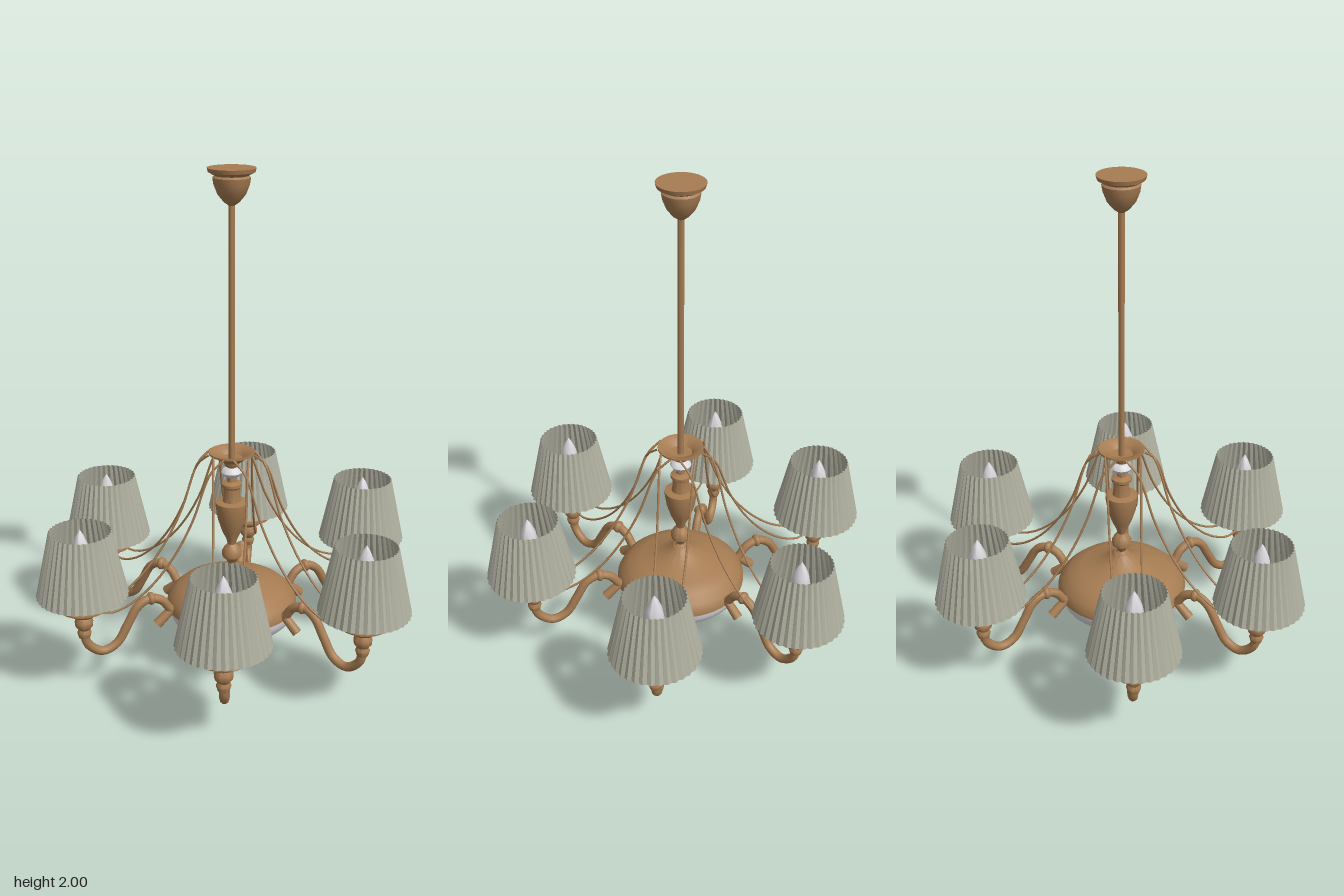
import * as THREE from 'three';
import { toCreasedNormals } from 'three/addons/utils/BufferGeometryUtils.js';

const brass = new THREE.MeshStandardMaterial({ name: 'brass', color: 0xa67c52 });
const glass = new THREE.MeshStandardMaterial({ name: 'white glass', color: 0xd8d8dc });
const fabric = new THREE.MeshStandardMaterial({ name: 'shade fabric', color: 0xb0b0a0, side: THREE.DoubleSide });

function mesh(name, geometry, material) {
  const m = new THREE.Mesh(geometry, material);
  m.name = name;
  return m;
}

// Turned part from [radius, height] pairs, bottom to top
function turned(name, profile, material, sides = 32) {
  const pts = profile.map(([r, y]) => new THREE.Vector2(r, y));
  return mesh(name, toCreasedNormals(new THREE.LatheGeometry(pts, sides), 0.7), material);
}

// Bent tube through points
function bent(name, points, radius, steps, sides) {
  const curve = new THREE.CatmullRomCurve3(points.map((p) => new THREE.Vector3(...p)));
  return mesh(name, new THREE.TubeGeometry(curve, steps, radius, sides), brass);
}

// Open cone with sharp pleats all round
function pleatedShade() {
  const geo = new THREE.CylinderGeometry(0.116, 0.174, 0.265, 72, 1, true);
  const p = geo.attributes.position;
  for (let i = 0; i < p.count; i++) {
    const out = (i % 73) % 2 ? 0.004 : -0.002;
    const r = Math.hypot(p.getX(i), p.getZ(i));
    const k = (r + out) / r;
    p.setXYZ(i, p.getX(i) * k, p.getY(i), p.getZ(i) * k);
  }
  const flat = geo.toNonIndexed();
  flat.computeVertexNormals();
  const shade = mesh('lampShade', flat, fabric);
  shade.position.y = 0.5475;
  return shade;
}

// One arm, built along +x
function createArm() {
  const arm = new THREE.Group();
  arm.name = 'arm';
  const R = 0.62;

  // S-shaped tube with a turned knot near the body
  arm.add(bent('armTube', [
    [0.62, 0.27, 0], [0.61, 0.2, 0], [0.55, 0.153, 0], [0.49, 0.175, 0], [0.445, 0.245, 0],
    [0.4, 0.318, 0], [0.35, 0.342, 0], [0.3, 0.325, 0], [0.265, 0.28, 0], [0.24, 0.265, 0],
  ], 0.018, 40, 10));
  const knot = mesh('armKnot', new THREE.SphereGeometry(0.026, 14, 10), brass);
  knot.scale.x = 0.7;
  knot.position.set(0.345, 0.342, 0);
  arm.add(knot);

  // Short stub that points out and down under the joint
  const stub = mesh('armStub', new THREE.CylinderGeometry(0.017, 0.02, 0.09, 12), brass);
  stub.position.set(0.288, 0.252, 0);
  stub.rotation.z = 0.85;
  arm.add(stub);

  // Cup, drip dish and candle sleeve
  const lamp = new THREE.Group();
  lamp.name = 'lamp';
  lamp.position.x = R;
  lamp.add(turned('cupAndDish', [
    [0, 0.225], [0.022, 0.23], [0.028, 0.25], [0.022, 0.265], [0.034, 0.28], [0.036, 0.3],
    [0.024, 0.32], [0.05, 0.33], [0.06, 0.345], [0.095, 0.36], [0.095, 0.366], [0.028, 0.352],
  ], brass, 24));
  lamp.add(turned('candleSleeve', [[0.028, 0.35], [0.028, 0.52], [0, 0.52]], brass, 16));
  lamp.add(turned('bulb', [
    [0.02, 0.52], [0.034, 0.55], [0.038, 0.58], [0.03, 0.625], [0.014, 0.665], [0, 0.688],
  ], glass, 10));
  lamp.add(pleatedShade());
  arm.add(lamp);

  // Pair of hanging wires from the crown to the dish
  for (const s of [-1, 1]) {
    arm.add(bent('swagWire', [
      [0.06, 0.908, 0.068 * s], [0.115, 0.86, 0.066 * s], [0.19, 0.67, 0.062 * s],
      [0.27, 0.53, 0.059 * s], [0.36, 0.425, 0.055 * s], [0.45, 0.36, 0.05 * s],
      [0.52, 0.338, 0.045 * s], [0.575, 0.352, 0.038 * s],
    ], 0.0045, 28, 6));
  }
  return arm;
}

export function createModel() {
  const model = new THREE.Group();
  model.name = 'chandelier';
  const body = new THREE.Group();
  body.name = 'body';
  body.position.z = -0.012;
  model.add(body);

  // Ceiling cup and long rod
  body.add(turned('ceilingCanopy', [
    [0.012, 1.865], [0.03, 1.878], [0.052, 1.905], [0.066, 1.94], [0.07, 1.965],
    [0.062, 1.972], [0.086, 1.985], [0.09, 2], [0, 2],
  ], brass));
  body.add(turned('rod', [[0.012, 0.85], [0.012, 1.87]], brass, 16));

  // Crown that carries the wires, hollow on top
  body.add(turned('crown', [
    [0.014, 0.845], [0.028, 0.855], [0.032, 0.87], [0.05, 0.88], [0.06, 0.895],
    [0.09, 0.905], [0.09, 0.912], [0.06, 0.904], [0.045, 0.885], [0, 0.88],
  ], brass));
  body.add(turned('glassBead', [
    [0.015, 0.805], [0.034, 0.815], [0.042, 0.828], [0.034, 0.842], [0.015, 0.85],
  ], glass, 24));

  // Turned column and upper dome
  body.add(turned('column', [
    [0.03, 0.42], [0.016, 0.435], [0.022, 0.45], [0.038, 0.465], [0.04, 0.485], [0.03, 0.505],
    [0.017, 0.52], [0.022, 0.54], [0.04, 0.58], [0.056, 0.63], [0.064, 0.68], [0.064, 0.7],
    [0.036, 0.705], [0.032, 0.73], [0.032, 0.76], [0.04, 0.768], [0.04, 0.78], [0.018, 0.788],
    [0.016, 0.81],
  ], brass));
  body.add(turned('upperDome', [
    [0.25, 0.25], [0.262, 0.258], [0.262, 0.275], [0.248, 0.305], [0.215, 0.335], [0.165, 0.357],
    [0.11, 0.37], [0.075, 0.39], [0.04, 0.412], [0.03, 0.425], [0, 0.428],
  ], brass, 48));

  // Glass bowl and finial below
  body.add(turned('glassBowl', [
    [0, 0.118], [0.08, 0.124], [0.15, 0.143], [0.205, 0.172], [0.24, 0.205], [0.254, 0.235],
    [0.256, 0.258],
  ], glass, 48));
  body.add(turned('finial', [
    [0, 0], [0.016, 0.006], [0.022, 0.02], [0.032, 0.03], [0.032, 0.046], [0.02, 0.06],
    [0.013, 0.068], [0.016, 0.08], [0.026, 0.092], [0.024, 0.106], [0.04, 0.114], [0.04, 0.124],
  ], brass, 20));

  // Six arms, slightly uneven around the body
  for (const deg of [-125.3, -60, -4.8, 60.2, 115.8, 180.7]) {
    const arm = createArm();
    arm.rotation.y = -THREE.MathUtils.degToRad(deg);
    body.add(arm);
  }
  return model;
}
